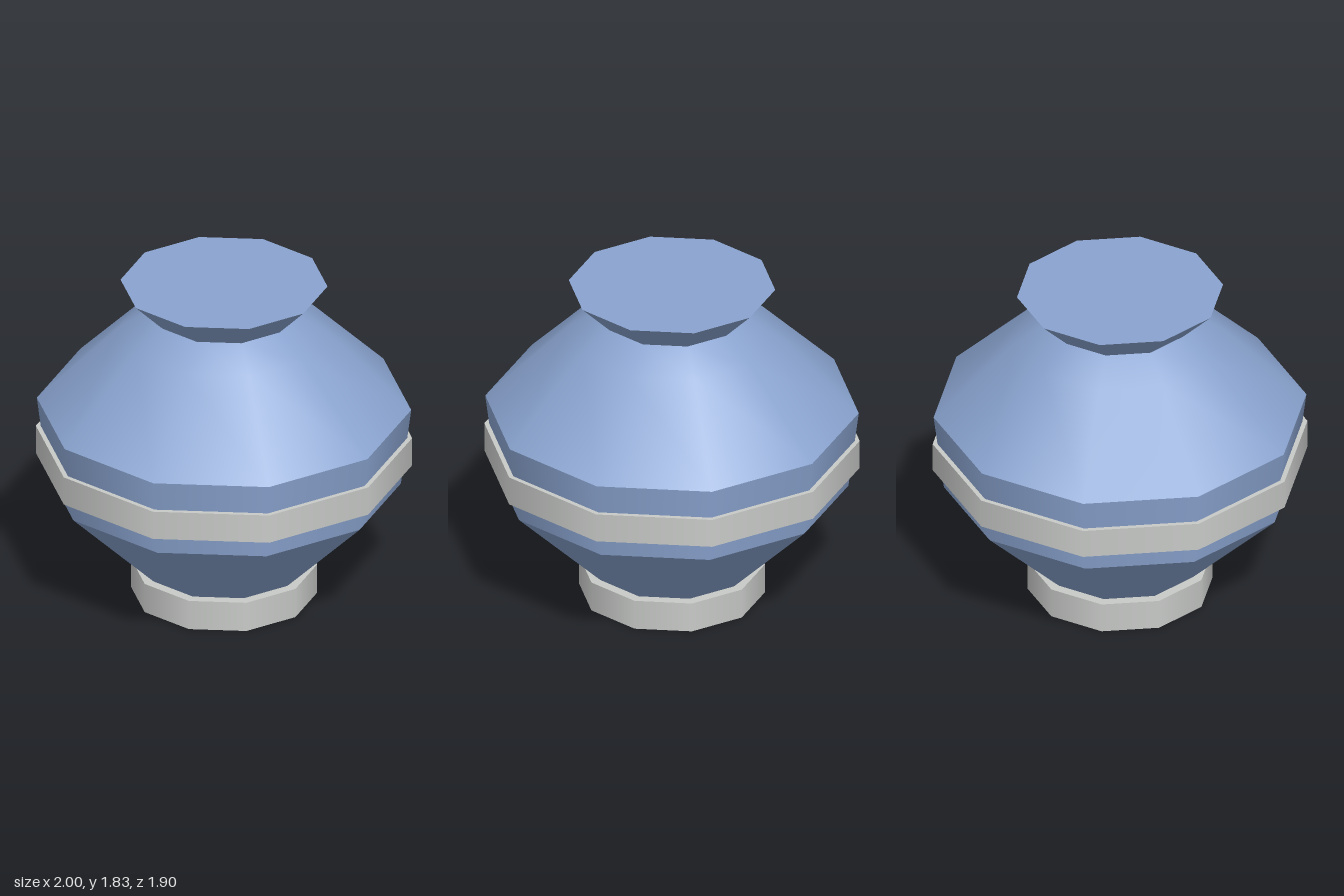
import * as THREE from 'three';

const SIDES = 10;

export function createModel() {
  const glaze = new THREE.MeshStandardMaterial({ color: 0x8aa4d0 });
  glaze.name = 'blue glaze';
  const metal = new THREE.MeshStandardMaterial({ color: 0xc8cac8 });
  metal.name = 'pale grey';

  const model = new THREE.Group();
  model.name = 'vase';

  // One turned band, smooth around and along its profile of [radius, height] points, listed upward
  const band = (name, material, ...profile) => {
    const points = profile.map(([r, y]) => new THREE.Vector2(r, y));
    const mesh = new THREE.Mesh(new THREE.LatheGeometry(points, SIDES, Math.PI / 2), material);
    mesh.name = name;
    model.add(mesh);
  };

  // A closed ring or disc: underside, wall and top as separate bands for crisp edges
  const hoop = (name, inner, outer, y0, y1) => {
    band(name + 'Underside', metal, [inner, y0], [outer, y0]);
    band(name + 'Wall', metal, [outer, y0], [outer, y1]);
    band(name + 'Top', metal, [outer, y1], [inner, y1]);
  };

  // Foot
  hoop('foot', 0, 0.495, 0, 0.168);

  // Body, from the foot up to the neck
  band('lowerBody', glaze, [0.44, 0.168], [0.94, 0.667]);
  band('belly', glaze, [0.94, 0.667], [0.995, 1.107]);
  band('shoulder', glaze, [0.995, 1.107], [0.555, 1.547], [0.385, 1.66]);

  // Raised belt around the belly
  hoop('belt', 0.92, 1, 0.778, 0.94);

  // Flared neck and its flat lid
  band('neck', glaze, [0.385, 1.66], [0.55, 1.827]);
  band('lid', glaze, [0.55, 1.827], [0, 1.827]);

  return model;
}
